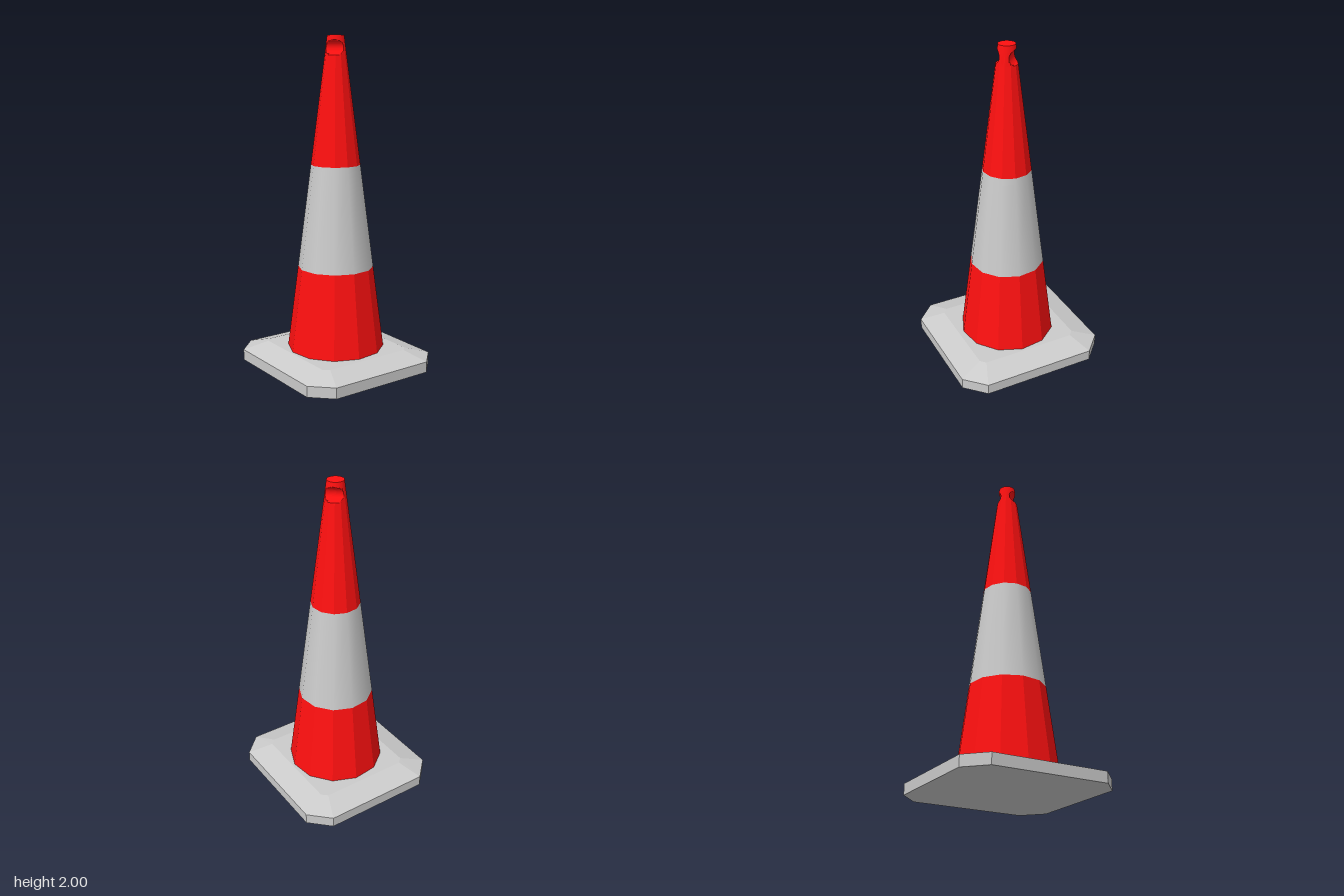
import * as THREE from 'three';

const RED = 0xff1010, GREY = 0xcccccc;
const SIDES = 12, TURN = -Math.PI / 24;
// straight taper of the cone
const radiusAt = y => 0.295 - (y - 0.11) * 0.1296;

// skin a stack of equal-length rings (counter-clockwise seen from above), closed at both ends
function loft(rings) {
  const pos = [];
  const tri = (...pts) => pts.forEach(p => pos.push(...p));
  const n = rings[0].length;
  for (let i = 0; i < n; i++) {
    const j = (i + 1) % n;
    for (let k = 0; k + 1 < rings.length; k++) {
      const lo = rings[k], hi = rings[k + 1];
      tri(lo[i], lo[j], hi[j]);
      tri(lo[i], hi[j], hi[i]);
    }
    const bottom = rings[0], top = rings[rings.length - 1];
    tri([0, bottom[0][1], 0], bottom[j], bottom[i]);
    tri([0, top[0][1], 0], top[i], top[j]);
  }
  const g = new THREE.BufferGeometry();
  g.setAttribute('position', new THREE.Float32BufferAttribute(pos, 3));
  g.computeVertexNormals();
  return g;
}

function addMesh(group, name, geometry, color, flatShading) {
  const mesh = new THREE.Mesh(geometry, new THREE.MeshStandardMaterial({ color, flatShading }));
  mesh.name = name;
  group.add(mesh);
}

// rectangle with cut corners: (x, zc) and (xc, z) are the corner points
function octagon(y, x, zc, xc, z) {
  return [[x, zc], [x, -zc], [xc, -z], [-xc, -z], [-x, -zc], [-x, zc], [-xc, z], [xc, z]]
    .map(([px, pz]) => [px, y, pz]);
}

// one ring of the neck, with a rounded grip groove cut into two opposite diagonal sides
function neckRing(y) {
  const ring = [], count = 48, step = 2 * Math.PI / SIDES;
  const dy = (y - 1.93) / 0.045;
  const limit = Math.abs(dy) < 1 ? 0.073 - 0.045 * Math.sqrt(1 - dy * dy) : 1;
  const round = THREE.MathUtils.smoothstep(y, 1.88, 1.97);
  for (let i = 0; i < count; i++) {
    const t = i / count * 2 * Math.PI;
    const facet = Math.cos(step / 2) / Math.cos(t % step - step / 2);
    const r = radiusAt(y) * THREE.MathUtils.lerp(facet, 1, round);
    const x = r * Math.sin(t + TURN), z = r * Math.cos(t + TURN);
    const u = THREE.MathUtils.clamp((x + z) * Math.SQRT1_2, -limit, limit);
    const v = (x - z) * Math.SQRT1_2;
    ring.push([(u + v) * Math.SQRT1_2, y, (u - v) * Math.SQRT1_2]);
  }
  return ring;
}

export function createModel() {
  const group = new THREE.Group();
  group.name = 'trafficCone';

  // heavy base plate with a sloped upper edge
  addMesh(group, 'basePlate', loft([
    octagon(0, 0.473, 0.335, 0.355, 0.455),
    octagon(0.066, 0.473, 0.335, 0.355, 0.455),
    octagon(0.11, 0.328, 0.275, 0.297, 0.309),
  ]), GREY, true);

  // cone body: faceted red sections around a smooth reflective band
  const sections = [
    ['lowerCone', 0.11, 0.615, RED, true],
    ['reflectiveBand', 0.615, 1.24, GREY, false],
    ['upperCone', 1.24, 1.88, RED, true],
  ];
  for (const [name, y0, y1, color, flat] of sections) {
    const g = new THREE.CylinderGeometry(radiusAt(y1), radiusAt(y0), y1 - y0, SIDES, 1, true, TURN);
    g.translate(0, (y0 + y1) / 2, 0);
    addMesh(group, name, g, color, flat);
  }

  // neck with grip grooves and flat top
  const rings = [];
  for (let i = 0; i <= 16; i++) rings.push(neckRing(1.88 + 0.1 * i / 16));
  rings.push(neckRing(2));
  addMesh(group, 'neck', loft(rings), RED, true);

  return group;
}
